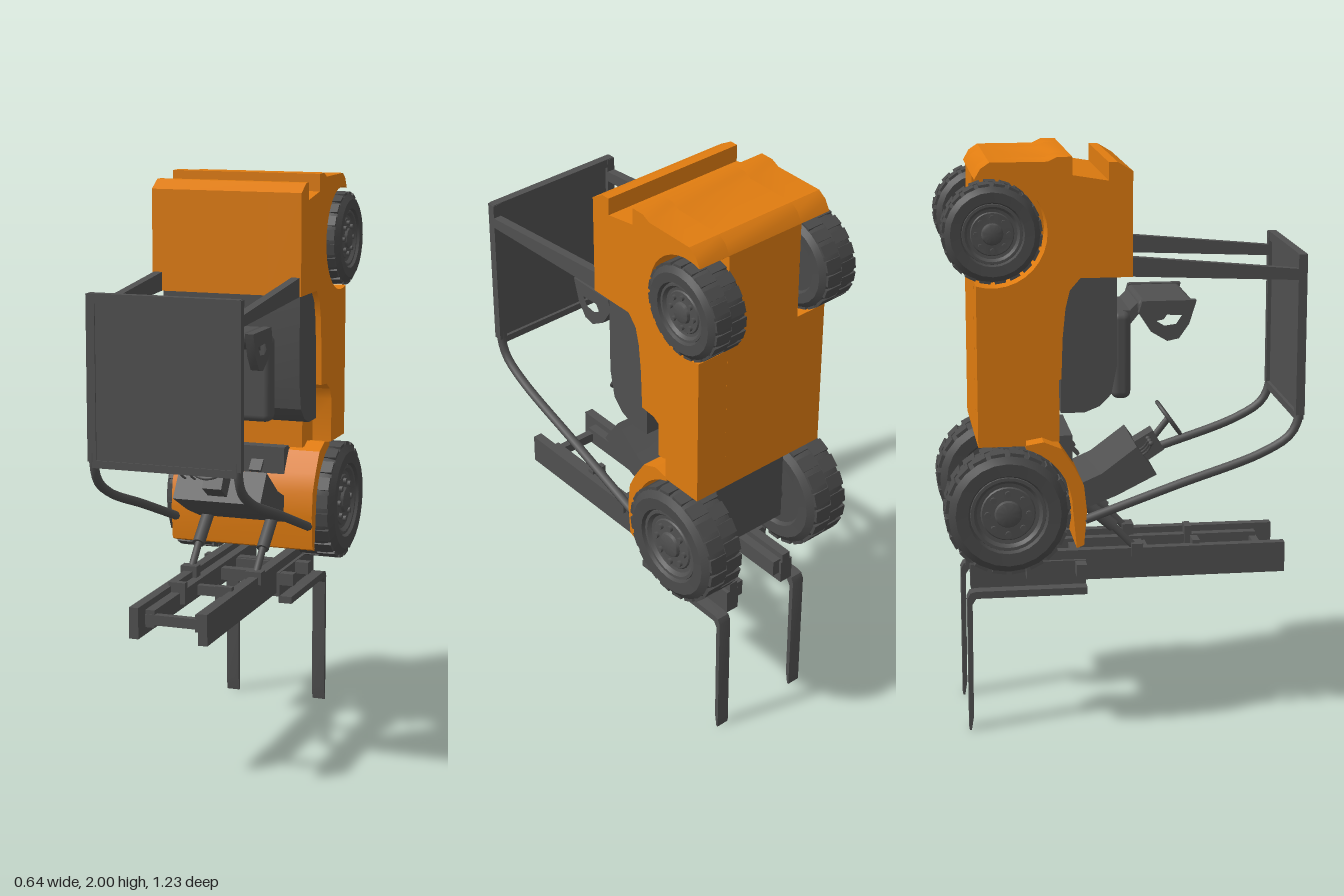
import * as THREE from 'three';
import { toCreasedNormals } from 'three/addons/utils/BufferGeometryUtils.js';
import { RoundedBoxGeometry } from 'three/addons/geometries/RoundedBoxGeometry.js';

const paint = new THREE.MeshStandardMaterial({ color: 0xe07c10 });
paint.name = 'orange paint';
const metal = new THREE.MeshStandardMaterial({ color: 0x505050 });
metal.name = 'dark grey metal';
const rubber = new THREE.MeshStandardMaterial({ color: 0x4a4a4a });
rubber.name = 'tyre rubber';

export function createModel() {
  const root = new THREE.Group();
  root.name = 'forkliftStandingOnForks';

  const add = (name, geo, mat = metal, parent = root) => {
    const m = new THREE.Mesh(geo, mat);
    m.name = name;
    parent.add(m);
    return m;
  };
  // Side profile of [z, y] points, extruded from x0 to x1
  const prism = (name, pts, x0, x1, mat = metal, hole = null) => {
    const toV = ([z, y]) => new THREE.Vector2(-z, y);
    const shape = new THREE.Shape(pts.map(toV));
    if (hole) shape.holes.push(new THREE.Path(hole.map(toV)));
    const geo = new THREE.ExtrudeGeometry(shape, { depth: x1 - x0, bevelEnabled: false });
    geo.rotateY(Math.PI / 2).translate(x0, 0, 0);
    return add(name, toCreasedNormals(geo, 0.5), mat);
  };
  const box = (name, x0, x1, y0, y1, z0, z1, mat = metal) => {
    const geo = new THREE.BoxGeometry(x1 - x0, y1 - y0, z1 - z0);
    return add(name, geo.translate((x0 + x1) / 2, (y0 + y1) / 2, (z0 + z1) / 2), mat);
  };
  const rod = (name, a, b, r, mat = metal) => {
    const A = new THREE.Vector3(...a), B = new THREE.Vector3(...b);
    const m = add(name, new THREE.CylinderGeometry(r, r, A.distanceTo(B), 10), mat);
    m.position.copy(A).add(B).multiplyScalar(0.5);
    m.quaternion.setFromUnitVectors(new THREE.Vector3(0, 1, 0), B.sub(A).normalize());
    return m;
  };
  // Runs fn for the x range on both sides
  const both = (x0, x1, fn) => { fn(x0, x1, 1); fn(-x1, -x0, -1); };
  const arc = (cz, cy, r, a0, a1, n = 14) => Array.from({ length: n + 1 }, (_, i) => {
    const a = a0 + (a1 - a0) * i / n;
    return [cz + r * Math.cos(a), cy + r * Math.sin(a)];
  });

  // Body: solid centre, side panels with wheel arch and step
  const tail = [[0.02, 1.6], [0.02, 1.95], [-0.03, 1.98], [-0.06, 1.98], [-0.06, 1.92], [-0.18, 1.94],
    [-0.18, 2], [-0.23, 2], [-0.26, 1.985], [-0.45, 1.985], [-0.48, 1.965], [-0.5, 1.93]];
  const pocket = [[-0.22, 1.26], [-0.215, 1.4], [-0.205, 1.5], [-0.19, 1.56], [-0.155, 1.6]];
  prism('bodyCentre', [...tail, [-0.5, 1.035], [-0.22, 1.035], ...pocket], -0.15, 0.15, paint);
  both(0.15, 0.27, (a, b) => prism('bodySide', [...tail,
    ...arc(-0.445, 1.755, 0.183, 1.875, -1.875, 20), [-0.5, 1.035], [-0.34, 1.035],
    [-0.34, 1.19], [-0.32, 1.23], [-0.28, 1.255], ...pocket], a, b, paint));
  // Inner wall of each step
  both(0.15, 0.2, (a, b) => box('stepWall', a, b, 1.03, 1.26, -0.35, -0.22, paint));

  // Front cowl wrapping the wheels
  prism('frontCowl', [[-0.34, 1.035], [-0.28, 1.045], [-0.22, 1.02], [-0.175, 0.95], [-0.145, 0.89],
    [-0.135, 0.8], [-0.145, 0.68], [-0.17, 0.67],
    ...arc(-0.405, 0.81, 0.222, 0, 1.27, 10)], -0.265, 0.265, paint);
  box('frontChassis', -0.15, 0.15, 0.74, 1.036, -0.46, -0.17);

  // Engine hood
  prism('engineHood', [[-0.03, 1.6], [-0.16, 1.6], [-0.22, 1.52], [-0.22, 1.14], [-0.14, 1.14],
    [-0.09, 1.16], [-0.05, 1.2], [-0.03, 1.3]], -0.25, 0.25);

  // Seat
  add('seatCushion', new RoundedBoxGeometry(0.33, 0.3, 0.066, 3, 0.025)).position.set(0, 1.31, -0.003);
  add('seatBack', new RoundedBoxGeometry(0.31, 0.046, 0.19, 3, 0.02)).position.set(0, 1.477, 0.15);
  prism('seatBackSupport', [[0.07, 1.5], [0.03, 1.46], [0.0, 1.46], [-0.03, 1.46], [-0.03, 1.38],
    [0.02, 1.4], [0.07, 1.46]], -0.13, 0.13);
  both(0.15, 0.18, (a, b) => prism('armrest',
    [[0.25, 1.5], [0.065, 1.5], [0.053, 1.46], [0.095, 1.395], [0.15, 1.362], [0.19, 1.37], [0.225, 1.42]],
    a, b, metal, [[0.2, 1.45], [0.13, 1.453], [0.115, 1.43], [0.14, 1.415], [0.18, 1.42]]));

  // Overhead guard
  box('roofPanel', -0.245, 0.245, 1.1, 1.655, 0.593, 0.605);
  box('roofRearBar', -0.26, 0.26, 1.63, 1.662, 0.582, 0.61);
  box('roofFrontBar', -0.25, 0.25, 1.09, 1.115, 0.582, 0.61);
  both(0.235, 0.265, (a, b, s) => {
    box('roofSideRail', a, b, 1.11, 1.66, 0.58, 0.61);
    prism('rearPost', [[0.59, 1.575], [0.59, 1.612], [0.02, 1.665], [0.02, 1.6]], a, b);
    const path = new THREE.CatmullRomCurve3([[0.595, 1.14], [0.593, 1.1], [0.565, 1.04], [0.47, 0.98],
      [0.17, 0.875], [-0.14, 0.765]].map(([z, y]) => new THREE.Vector3(s * 0.25, y, z)));
    add('frontPost', new THREE.TubeGeometry(path, 30, 0.016, 8));
  });

  // Dashboard, steering column and wheel
  prism('dashboard', [[0.05, 0.99], [-0.07, 0.9], [-0.15, 0.865], [-0.15, 0.77], [-0.02, 0.82], [0.12, 0.89]],
    -0.16, 0.16);
  prism('steeringColumn', [[0.165, 0.945], [0.125, 1.015], [0.04, 0.965], [0.08, 0.89]], -0.035, 0.035);
  rod('steeringShaft', [0, 0.98, 0.13], [0, 1.05, 0.185], 0.012);
  const steering = new THREE.Group();
  steering.name = 'steeringWheel';
  steering.position.set(0, 1.05, 0.185);
  steering.rotation.x = -0.62;
  root.add(steering);
  add('rim', new THREE.TorusGeometry(0.068, 0.007, 8, 28), metal, steering);
  for (let i = 0; i < 3; i++) {
    const g = new THREE.BoxGeometry(0.012, 0.066, 0.006).translate(0, 0.033, 0);
    add('spoke', g.rotateZ(i * Math.PI * 2 / 3), metal, steering);
  }

  // Control levers and pedals
  for (const x of [-0.14, -0.105, -0.07]) {
    const c = new THREE.QuadraticBezierCurve3(new THREE.Vector3(x + 0.02, 0.94, 0.03),
      new THREE.Vector3(x + 0.01, 0.95, 0.1), new THREE.Vector3(x - 0.015, 1.0, 0.1));
    add('lever', new THREE.TubeGeometry(c, 8, 0.004, 6));
    add('leverKnob', new THREE.SphereGeometry(0.009, 8, 6)).position.set(x - 0.015, 1.0, 0.1);
  }
  for (const x of [-0.065, 0.05]) {
    const p = add('pedal', new THREE.BoxGeometry(0.045, 0.08, 0.012));
    p.position.set(x, 0.98, -0.17);
    p.rotation.x = -0.75;
    rod('pedalArm', [x, 0.98, -0.17], [x, 0.93, -0.19], 0.006);
  }

  // Wheels: lathed tyre, shallow tread blocks, ringed hub with bolts
  const wheel = (name, R, w, x, y, z) => {
    const h = w / 2, g = new THREE.Group();
    g.name = name;
    g.position.set(x, y, z);
    if (x < 0) g.rotation.y = Math.PI;
    root.add(g);
    const lathe = (pts, n) => toCreasedNormals(new THREE.LatheGeometry(
      pts.map(([r, a]) => new THREE.Vector2(r * R, a * h)), n).rotateZ(-Math.PI / 2), 0.5);
    add('tyre', lathe([[0, -0.8], [0.6, -0.8], [0.64, -0.97], [0.84, -1], [0.95, -0.8], [0.985, -0.45],
      [0.985, 0.45], [0.95, 0.8], [0.84, 1], [0.64, 0.97], [0.6, 0.75], [0.5, 0.7]], 24), rubber, g);
    add('hub', lathe([[0.62, 0.7], [0.6, 0.86], [0.55, 0.86], [0.5, 0.72], [0.44, 0.7], [0.42, 0.76],
      [0.22, 0.78], [0.2, 0.9], [0.16, 0.94], [0, 0.94]], 28), metal, g);
    for (let i = 0; i < 8; i++) {
      const a = i * Math.PI / 4;
      const bolt = new THREE.CylinderGeometry(R * 0.05, R * 0.05, h * 0.16, 8).rotateZ(-Math.PI / 2);
      add('bolt', bolt.translate(h * 0.82, R * 0.33 * Math.cos(a), R * 0.33 * Math.sin(a)), metal, g);
    }
    for (let i = 0; i < 40; i++) {
      const side = i % 2 ? 1 : -1;
      const lug = new THREE.BoxGeometry(h * 0.8, R * 0.06, R * 0.22);
      lug.translate(side * h * 0.4, R * 0.965, 0).rotateX(i * Math.PI / 20);
      add('treadBlock', lug, rubber, g);
    }
  };
  for (const s of [1, -1]) {
    wheel('frontWheel', 0.212, 0.165, s * 0.237, 0.81, -0.405);
    wheel('rearWheel', 0.165, 0.15, s * 0.232, 1.755, -0.445);
  }
  rod('frontAxle', [-0.2, 0.81, -0.405], [0.2, 0.81, -0.405], 0.04);
  rod('rearAxle', [-0.2, 1.755, -0.445], [0.2, 1.755, -0.445], 0.035);

  // Mast rails and cross members
  both(0.105, 0.138, (a, b) => box('outerMastRail', a, b, 0.515, 0.622, -0.525, 0.578));
  both(0.072, 0.106, (a, b) => box('innerMastRail', a, b, 0.54, 0.6, -0.515, 0.515));
  both(0.055, 0.115, (a, b) => box('mastBracket', a, b, 0.56, 0.635, 0.255, 0.28));
  for (const z of [0.505, 0.1, -0.3]) box('mastCrossBar', -0.11, 0.11, 0.55, 0.585, z - 0.013, z + 0.013);

  // Tilt cylinders
  for (const s of [1, -1]) {
    rod('tiltCylinder', [s * 0.12, 0.8, -0.14], [s * 0.12, 0.7, -0.025], 0.022);
    rod('tiltRod', [s * 0.12, 0.71, -0.035], [s * 0.12, 0.615, 0.055], 0.013);
    box('tiltMount', s * 0.12 - 0.03, s * 0.12 + 0.03, 0.595, 0.64, 0.035, 0.075);
  }

  // Fork carriage and forks
  for (const z of [-0.145, -0.318]) box('carriageBar', -0.2, 0.2, 0.545, 0.588, z - 0.018, z + 0.018);
  both(0.1, 0.15, (a, b) => box('carriagePlate', a, b, 0.503, 0.59, -0.525, -0.125));
  both(0.147, 0.195, (a, b) => prism('fork', [[-0.125, 0.505], [-0.51, 0.505], [-0.53, 0.5], [-0.54, 0.48],
    [-0.54, 0], [-0.533, 0], [-0.525, 0.05], [-0.523, 0.46], [-0.51, 0.48], [-0.125, 0.48]], a, b));

  return root;
}
